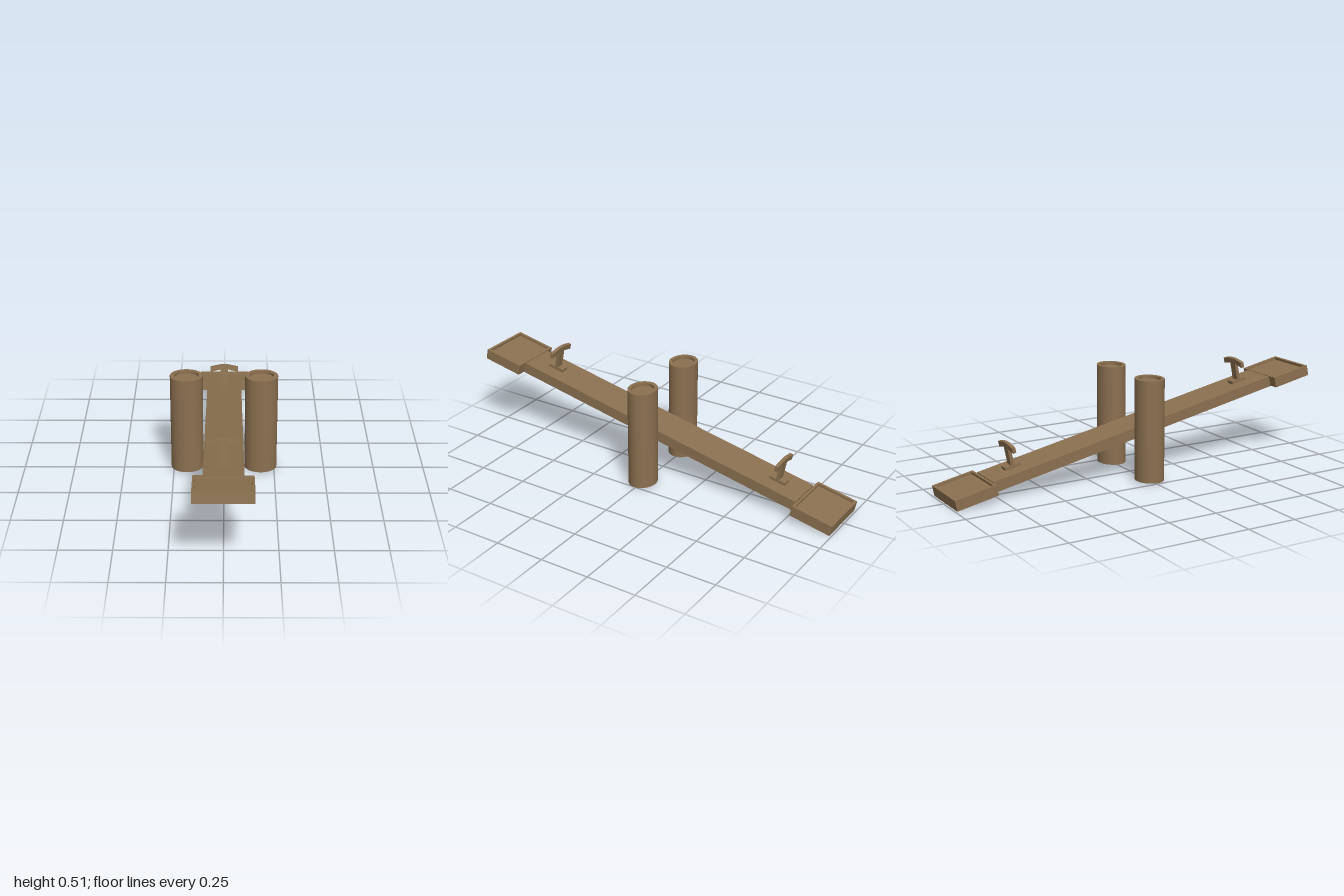
import * as THREE from 'three';
import { toCreasedNormals } from 'three/addons/utils/BufferGeometryUtils.js';

const wood = new THREE.MeshStandardMaterial({ color: 0x8b7050 });
wood.name = 'brown wood';

function add(parent, name, geometry, x = 0, y = 0, z = 0) {
  const mesh = new THREE.Mesh(geometry, wood);
  mesh.name = name;
  mesh.position.set(x, y, z);
  parent.add(mesh);
  return mesh;
}

const THICK = 0.053;       // plank and seat thickness
const HALF = 1.015;        // centre to seat end
const SEAT_INNER = 0.803;  // centre to inner seat edge

// Oval post with a shallow hollow in its top
function postGeometry() {
  const h = 0.503;
  const profile = [[0, 0], [1, 0], [1, h], [0.75, h], [0.75, h - 0.015], [0, h - 0.015]]
    .map(([r, y]) => new THREE.Vector2(r, y));
  const g = new THREE.LatheGeometry(profile, 32);
  g.scale(0.08, 1, 0.069);
  return toCreasedNormals(g, 0.6);
}

// Raised rim around the seat tray
function rimGeometry(width, length, wall, height) {
  const rect = (path, a, b) => path.moveTo(-a, -b).lineTo(a, -b).lineTo(a, b).lineTo(-a, b).closePath();
  const shape = rect(new THREE.Shape(), width / 2, length / 2);
  shape.holes.push(rect(new THREE.Path(), width / 2 - wall, length / 2 - wall));
  const g = new THREE.ExtrudeGeometry(shape, { depth: height, bevelEnabled: false });
  return g.rotateX(-Math.PI / 2);
}

// Stem and drooping crossbar in one outline
function gripGeometry() {
  const right = [[0.02, 0], [0.02, 0.088], [0.075, 0.075], [0.075, 0.103], [0.02, 0.114]];
  const left = right.map(([x, y]) => [-x, y]).reverse();
  const shape = new THREE.Shape([...right, ...left].map(([x, y]) => new THREE.Vector2(x, y)));
  const g = new THREE.ExtrudeGeometry(shape, { depth: 0.017, bevelEnabled: false });
  return g.translate(0, 0, -0.0085);
}

export function createModel() {
  const model = new THREE.Group();
  model.name = 'seesaw';

  // Posts on both sides of the pivot
  const post = postGeometry();
  for (const s of [-1, 1]) add(model, s > 0 ? 'leftPost' : 'rightPost', post, s * 0.183, 0.012, -0.002);

  // Tilted beam, front end raised
  const beam = new THREE.Group();
  beam.name = 'beam';
  beam.position.y = 0.23;
  beam.rotation.x = -0.199;
  model.add(beam);

  const plankLength = SEAT_INNER - 0.004;
  const seatLength = HALF - SEAT_INNER;
  const rimHeight = 0.013;
  const plank = new THREE.BoxGeometry(0.184, THICK, plankLength);
  const tray = new THREE.BoxGeometry(0.27, THICK - rimHeight, seatLength);
  const rim = rimGeometry(0.27, seatLength, 0.012, rimHeight);
  const base = new THREE.BoxGeometry(0.042, 0.015, 0.082);
  const grip = gripGeometry();

  for (const s of [1, -1]) {
    const side = s > 0 ? 'front' : 'back';
    const seatZ = s * (HALF + SEAT_INNER) / 2;
    add(beam, side + 'Plank', plank, 0, 0, s * plankLength / 2);

    const seat = new THREE.Group();
    seat.name = side + 'Seat';
    add(seat, 'seatTray', tray, 0, -rimHeight / 2, seatZ);
    add(seat, 'seatRim', rim, 0, THICK / 2 - rimHeight, seatZ);
    beam.add(seat);

    const handle = new THREE.Group();
    handle.name = side + 'Handle';
    handle.position.set(0, THICK / 2, s * 0.659);
    add(handle, 'handleBase', base, 0, 0.0085, 0);
    add(handle, 'handleGrip', grip, 0, 0.0155, 0);
    beam.add(handle);
  }
  return model;
}
